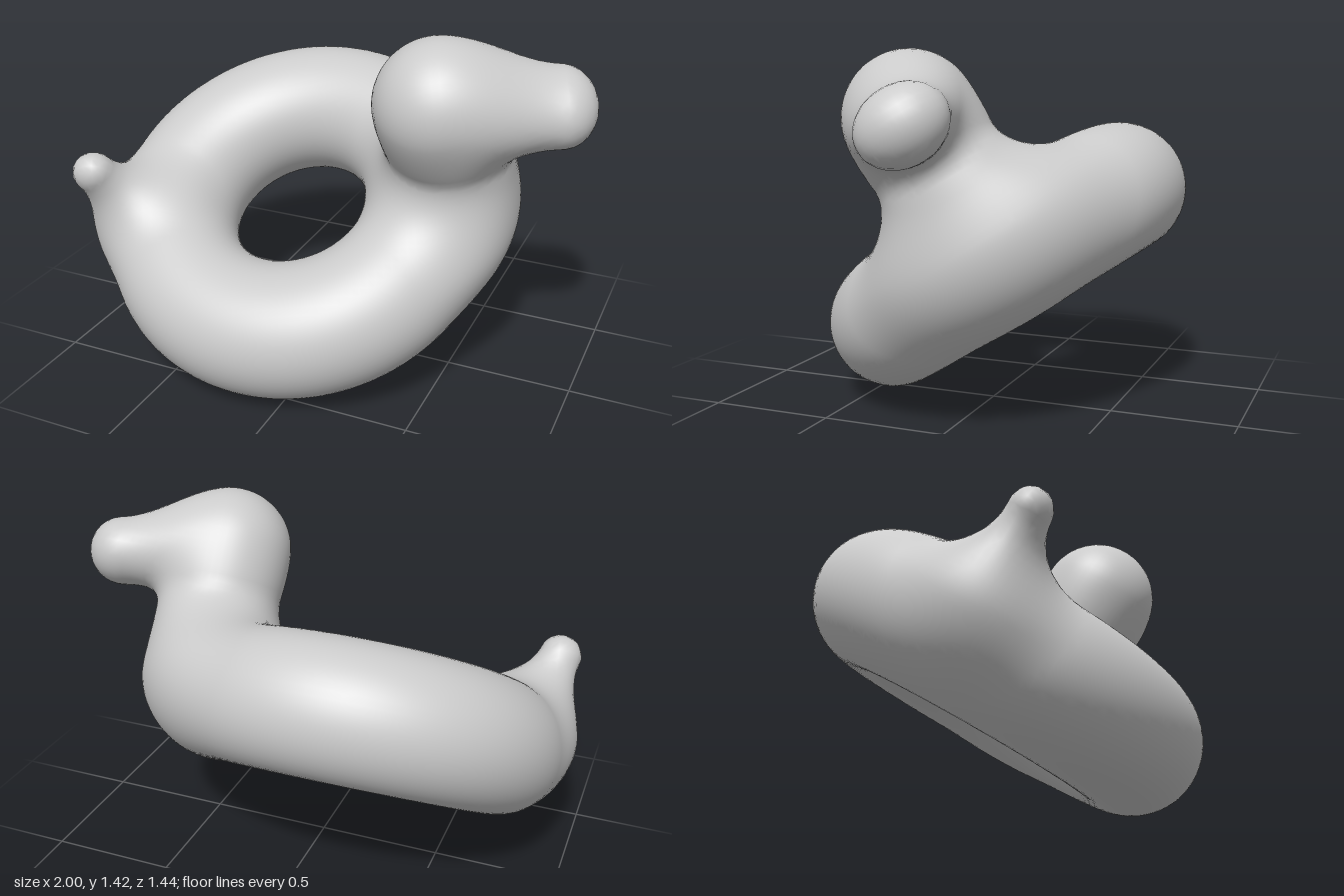
import * as THREE from 'three';

const material = new THREE.MeshStandardMaterial({ color: 0xcccccc, roughness: 0.8 });

// Signed distance to a ring lying flat around the y axis
const ringField = (x, y, z, radius, tube) => Math.hypot(Math.hypot(x, z) - radius, y) - tube;

// Distance to a rounded taper from a to b, each [x, y, radius]; widen stretches the b end along z
function taperField(x, y, z, a, b, widen) {
  const dx = b[0] - a[0];
  const dy = b[1] - a[1];
  const t = ((x - a[0]) * dx + (y - a[1]) * dy) / (dx * dx + dy * dy);
  const s = THREE.MathUtils.clamp(t, 0, 1);
  const ease = THREE.MathUtils.smoothstep(t, 0, 1);
  const flat = z / THREE.MathUtils.lerp(1, widen, ease);
  return Math.hypot(x - a[0] - s * dx, y - a[1] - s * dy, flat) - THREE.MathUtils.lerp(a[2], b[2], ease);
}

// Union of two shapes with a soft fillet of size k
function blend(a, b, k) {
  const h = Math.max(k - Math.abs(a - b), 0) / k;
  return Math.min(a, b) - (h * h * k) / 4;
}

// The inflated duck: bill along +x, ring axis along y
function duckField([x, y, z]) {
  const ring = ringField(x, y, z, 0.545, 0.265);
  const neck = taperField(x, y, z, [0.668, 0.42, 0.243], [0.645, 0.07, 0.255], 1.5);
  const headAndBill = taperField(x, y, z, [0.665, 0.58, 0.248], [1.083, 0.485, 0.137], 1.22);
  const tail = taperField(x, y, z, [-0.64, 0.1, 0.21], [-0.738, 0.422, 0.086], 0.9);
  return blend(blend(blend(ring, neck, 0.16), headAndBill, 0.07), tail, 0.14);
}

function gradient(field, p) {
  const e = 0.002;
  return [0, 1, 2].map((d) => {
    const q = [...p];
    q[d] += e;
    const ahead = field(q);
    q[d] -= 2 * e;
    return (ahead - field(q)) / (2 * e);
  });
}

// One smooth skin over a field: a vertex in each crossed cell, a quad over each crossed edge
function skin(field, min, max, step) {
  const n = [0, 1, 2].map((d) => Math.ceil((max[d] - min[d]) / step) + 1);
  const stride = [1, n[0], n[0] * n[1]];
  const at = (c) => c[0] + c[1] * stride[1] + c[2] * stride[2];
  const point = (c) => c.map((v, d) => min[d] + v * step);
  const nodes = [];
  for (let k = 0; k < n[2]; k++)
    for (let j = 0; j < n[1]; j++)
      for (let i = 0; i < n[0]; i++) nodes.push([i, j, k]);
  const values = nodes.map((c) => field(point(c)));

  // Vertices: mean of the edge crossings, then settled onto the surface
  const positions = [];
  const normals = [];
  const vertexOf = new Map();
  for (const c of nodes) {
    if (c.some((v, d) => v === n[d] - 1)) continue;
    const sum = [0, 0, 0];
    let crossings = 0;
    for (let corner = 0; corner < 8; corner++) {
      const a = c.map((v, d) => v + ((corner >> d) & 1));
      for (let d = 0; d < 3; d++) {
        if ((corner >> d) & 1) continue;
        const va = values[at(a)];
        const vb = values[at(a) + stride[d]];
        if (va < 0 === vb < 0) continue;
        a.forEach((v, m) => { sum[m] += v + (m === d ? va / (va - vb) : 0); });
        crossings++;
      }
    }
    if (!crossings) continue;
    let p = point(sum.map((v) => v / crossings));
    for (let pass = 0; pass < 2; pass++) {
      const g = gradient(field, p);
      const shift = field(p) / (g[0] ** 2 + g[1] ** 2 + g[2] ** 2);
      p = p.map((v, d) => v - shift * g[d]);
    }
    vertexOf.set(at(c), positions.length / 3);
    positions.push(...p);
    normals.push(...new THREE.Vector3(...gradient(field, p)).normalize().toArray());
  }

  // Quads, wound to face outwards
  const indices = [];
  for (const c of nodes) {
    const here = at(c);
    for (let d = 0; d < 3; d++) {
      if (c[d] === n[d] - 1) continue;
      const inside = values[here] < 0;
      if (inside === values[here + stride[d]] < 0) continue;
      const u = stride[(d + 1) % 3];
      const v = stride[(d + 2) % 3];
      const quad = [here - u - v, here - v, here, here - u].map((cell) => vertexOf.get(cell));
      if (!inside) quad.reverse();
      indices.push(quad[0], quad[1], quad[2], quad[0], quad[2], quad[3]);
    }
  }

  const geometry = new THREE.BufferGeometry();
  geometry.setAttribute('position', new THREE.Float32BufferAttribute(positions, 3));
  geometry.setAttribute('normal', new THREE.Float32BufferAttribute(normals, 3));
  geometry.setIndex(indices);
  return geometry;
}

export function createModel() {
  const model = new THREE.Group();
  model.name = 'duckSwimRing';

  // Ring, neck, head, bill and tail in one skin, tilted back to front and turned on its axis
  const duck = new THREE.Mesh(skin(duckField, [-1, -0.36, -0.92], [1.32, 0.94, 0.92], 0.03), material);
  duck.name = 'inflatedDuck';
  duck.position.set(-0.165, 0.567, 0);
  duck.rotation.set(THREE.MathUtils.degToRad(33.3), THREE.MathUtils.degToRad(19), 0);
  model.add(duck);

  return model;
}
